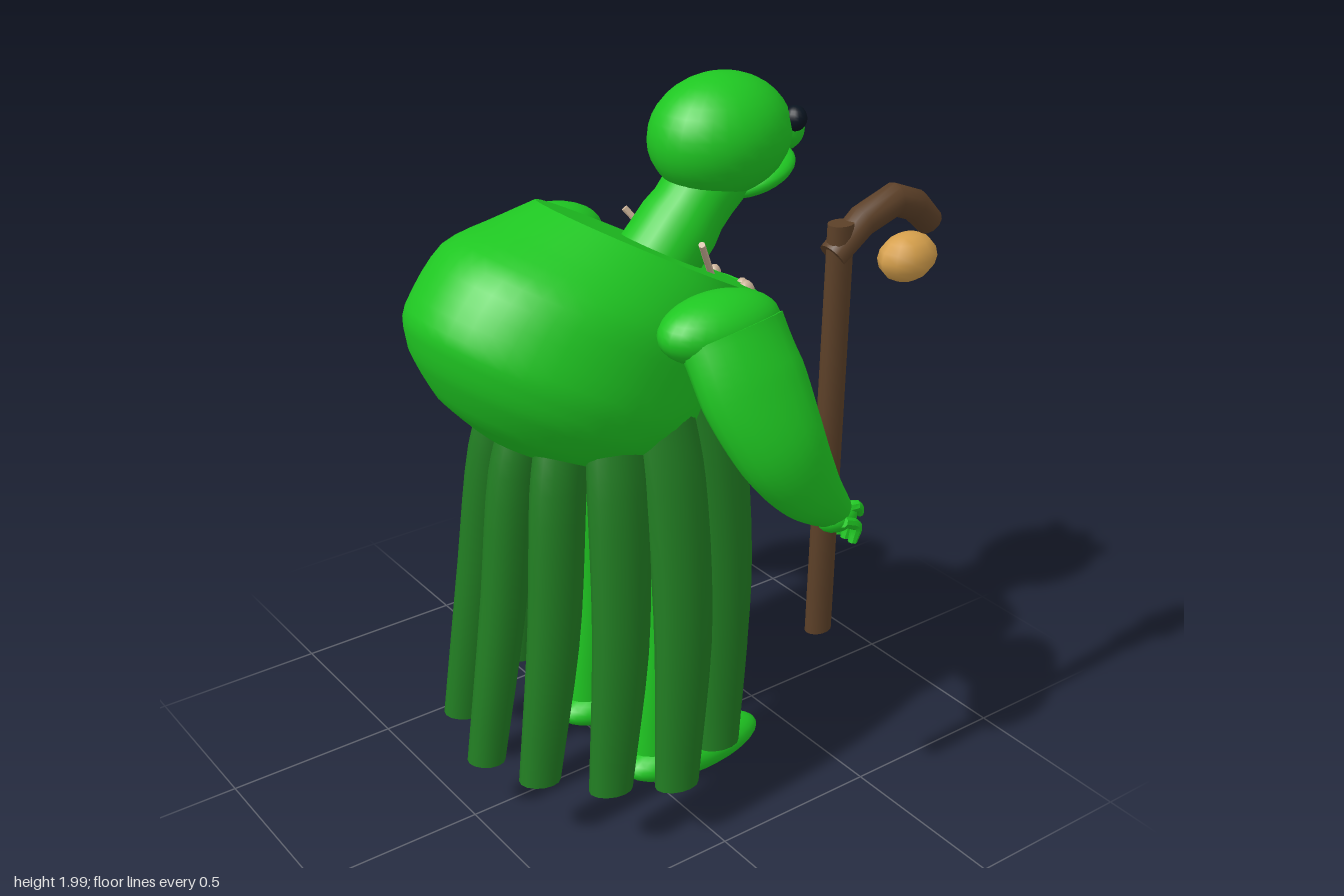
import * as THREE from 'three';
import { toCreasedNormals } from 'three/addons/utils/BufferGeometryUtils.js';

const mat = (name, color) => {
  const m = new THREE.MeshStandardMaterial({ color });
  m.name = name;
  return m;
};

// Tapered elliptical tube: each point is [x, y, z, radius, radiusZ].
// With an axis, every ring stays square to it instead of following the path.
function sweep(points, steps = 16, sides = 16, axis = null) {
  const path = new THREE.CatmullRomCurve3(points.map(p => new THREE.Vector3(p[0], p[1], p[2])));
  const radii = new THREE.CatmullRomCurve3(points.map(p => new THREE.Vector3(p[3], p[4] ?? p[3], 0)));
  const pos = [], index = [];
  for (let i = 0; i <= steps; i++) {
    const c = path.getPoint(i / steps), r = radii.getPoint(i / steps), t = axis ?? path.getTangent(i / steps);
    const u = new THREE.Vector3(0, 0, 1).cross(t).normalize();
    const v = t.clone().cross(u);
    for (let j = 0; j < sides; j++) {
      const a = j / sides * Math.PI * 2;
      const p = c.clone().addScaledVector(u, r.x * Math.cos(a)).addScaledVector(v, r.y * Math.sin(a));
      pos.push(p.x, p.y, p.z);
    }
  }
  const first = pos.length / 3;
  pos.push(...path.getPoint(0).toArray(), ...path.getPoint(1).toArray());
  for (let j = 0; j < sides; j++) {
    const k = (j + 1) % sides, end = steps * sides;
    for (let i = 0; i < steps; i++) {
      const a = i * sides + j, b = i * sides + k;
      index.push(a, b, a + sides, b, b + sides, a + sides);
    }
    index.push(first, k, j, first + 1, end + j, end + k);
  }
  const g = new THREE.BufferGeometry();
  g.setAttribute('position', new THREE.Float32BufferAttribute(pos, 3));
  g.setIndex(index);
  return toCreasedNormals(g, 0.7);
}

export function createModel() {
  const model = new THREE.Group();
  model.name = 'hunchedFigure';
  const skin = mat('brightGreen', 0x1fc722);
  const cloth = mat('darkGreen', 0x217c22);
  const wood = mat('brown', 0x5c4028);
  const amber = mat('amber', 0xd6a04c);
  const dark = mat('nearBlack', 0x0a1420);
  const bone = mat('bone', 0xcbb298);

  const add = (name, geometry, material, parent = model) => {
    const m = new THREE.Mesh(geometry, material);
    m.name = name;
    parent.add(m);
    return m;
  };
  const ball = (name, [x, y, z], [rx, ry, rz], material, parent = model, w = 28, h = 18) => {
    const m = add(name, new THREE.SphereGeometry(1, w, h), material, parent);
    m.position.set(x, y, z);
    m.scale.set(rx, ry, rz);
    return m;
  };

  // Hunched back: rings square to the sloping neckline, [height, offset, radius, radiusZ]
  const up = new THREE.Vector3(0.48, 0.877, 0).normalize();
  const rings = [
    [-0.615, -0.13, 0.01, 0.01], [-0.6, -0.13, 0.12, 0.1], [-0.55, -0.13, 0.27, 0.23],
    [-0.46, -0.13, 0.39, 0.32], [-0.36, -0.13, 0.445, 0.35], [-0.19, -0.115, 0.425, 0.345],
    [-0.07, -0.04, 0.375, 0.305], [0, 0, 0.338, 0.272],
  ];
  add('hunchedBack', sweep(rings.map(([h, e, r, rz]) =>
    [0.09 + up.x * h + up.y * e, 1.58 + up.y * h - up.x * e, 0, r, rz]), 28, 44, up), skin);

  // Waisted chest with a flared collar rim and hem
  add('chest', sweep([
    [0.11, 1.01, 0, 0.278, 0.2], [0.11, 1.1, 0, 0.22, 0.19], [0.11, 1.2, 0, 0.2, 0.195],
    [0.1, 1.3, 0, 0.215, 0.22], [0.09, 1.37, 0, 0.25, 0.26], [0.08, 1.412, 0, 0.325, 0.305],
  ], 20, 36, new THREE.Vector3(0, 1, 0)), skin);
  const navel = add('navel', new THREE.OctahedronGeometry(1, 1), cloth);
  navel.position.set(0.31, 1.18, 0);
  navel.scale.set(0.012, 0.05, 0.027);

  // Neck and head
  add('neck', sweep([[0.075, 1.49, 0, 0.115], [0.19, 1.62, 0, 0.11], [0.31, 1.76, 0, 0.11]], 8, 24), skin);
  const head = new THREE.Group();
  head.name = 'head';
  model.add(head);
  ball('skull', [0.318, 1.838, 0], [0.203, 0.162, 0.165], skin, head);
  ball('jaw', [0.42, 1.722, 0], [0.13, 0.045, 0.118], skin, head).rotation.z = 0.3;
  ball('nose', [0.54, 1.808, 0], [0.06, 0.056, 0.04], skin, head, 18, 12);
  for (const s of [1, -1]) ball('eye', [0.492, 1.872, s * 0.093], [0.031, 0.034, 0.033], dark, head, 16, 12);

  for (const s of [1, -1]) {
    const side = new THREE.Group();
    side.name = s > 0 ? 'frontSideLimbs' : 'farSideLimbs';
    model.add(side);
    // Arm
    ball('shoulder', [0.025, 1.505, s * 0.385], [0.175, 0.088, 0.105], skin, side);
    add('arm', sweep([
      [0.035, 1.5, s * 0.42, 0.15, 0.085], [0.05, 1.38, s * 0.49, 0.15, 0.08],
      [0.1, 1.22, s * 0.55, 0.125, 0.075], [0.19, 1.08, s * 0.56, 0.09, 0.06],
      [0.29, 0.98, s * 0.55, 0.05, 0.045],
    ], 24, 20), skin, side);
    // Hand with four curled fingers and a thumb
    ball('palm', [0.29, 0.965, s * 0.55], [0.065, 0.04, 0.05], skin, side, 16, 12);
    for (let i = 0; i < 4; i++) {
      const z = s * (0.508 + i * 0.029);
      add('finger', sweep([[0.28, 0.97, z, 0.015], [0.325, 0.945, z, 0.016], [0.315, 0.9, z, 0.012]], 6, 8), skin, side);
    }
    add('thumb', sweep([[0.29, 0.98, s * 0.55, 0.02], [0.34, 0.99, s * 0.575, 0.016], [0.365, 0.955, s * 0.565, 0.01]], 6, 8), skin, side);
    // Leg and foot
    add('leg', sweep([
      [0, 0.14, s * 0.165, 0.085, 0.068], [0.03, 0.5, s * 0.16, 0.08, 0.065],
      [0.04, 0.8, s * 0.145, 0.1, 0.08], [0.04, 1.1, s * 0.11, 0.11, 0.09],
    ], 12, 18), skin, side);
    ball('foot', [0.14, 0.073, s * 0.167], [0.23, 0.066, 0.086], skin, side);
    // Bone pins and tooth beads around the neckline
    add('bonePin', sweep([[0.135, 1.625, s * 0.168, 0.009], [0.23, 1.49, s * 0.095, 0.009]], 2, 8), bone, side);
    ball('largeTooth', [0.32, 1.437, s * 0.125], [0.025, 0.034, 0.022], bone, side, 12, 8);
    ball('smallTooth', [0.36, 1.424, s * 0.06], [0.018, 0.024, 0.018], bone, side, 10, 8);
  }
  ball('middleTooth', [0.325, 1.335, 0], [0.013, 0.022, 0.011], bone, model, 10, 8);

  // Skirt of hanging cloth strips in a ring of twelve, broader at the sides
  const skirt = new THREE.Group();
  skirt.name = 'stripSkirt';
  model.add(skirt);
  for (let i = 0; i < 12; i++) {
    const a = i * Math.PI / 6, c = Math.cos(a), s = Math.sin(a);
    const bottom = i % 3 ? 0.21 : 0.18, top = 1.3 + 0.05 * c, wide = 0.022 * Math.abs(s);
    add('clothStrip', sweep([
      [-0.09 + 0.365 * c, bottom, 0.395 * s, 0.056 + wide / 2, 0.045],
      [-0.05 + 0.335 * c, 0.65, 0.36 * s, 0.066 + wide, 0.055],
      [-0.04 + 0.3 * c, 1.05, 0.3 * s, 0.068 + wide, 0.06],
      [-0.045 + 0.255 * c, top - 0.04, 0.25 * s, 0.06 + wide, 0.052],
      [-0.045 + 0.245 * c, top + 0.03, 0.235 * s, 0.03, 0.028],
    ], 18, 14), cloth, skirt);
  }

  // Crooked staff with a hanging lantern
  const staff = new THREE.Group();
  staff.name = 'staff';
  model.add(staff);
  add('shaft', sweep([[0.26, 0.63, 0.543, 0.039, 0.029], [0.26, 1.77, 0.543, 0.036, 0.028]], 4, 14), wood, staff);
  add('hook', sweep([
    [0.24, 1.69, 0.54, 0.037], [0.33, 1.76, 0.54, 0.04], [0.43, 1.793, 0.54, 0.042],
    [0.5, 1.765, 0.54, 0.04], [0.555, 1.71, 0.54, 0.036],
  ], 4, 12), wood, staff);
  ball('lantern', [0.49, 1.632, 0.54], [0.085, 0.063, 0.06], amber, staff, 10, 8);

  return model;
}
